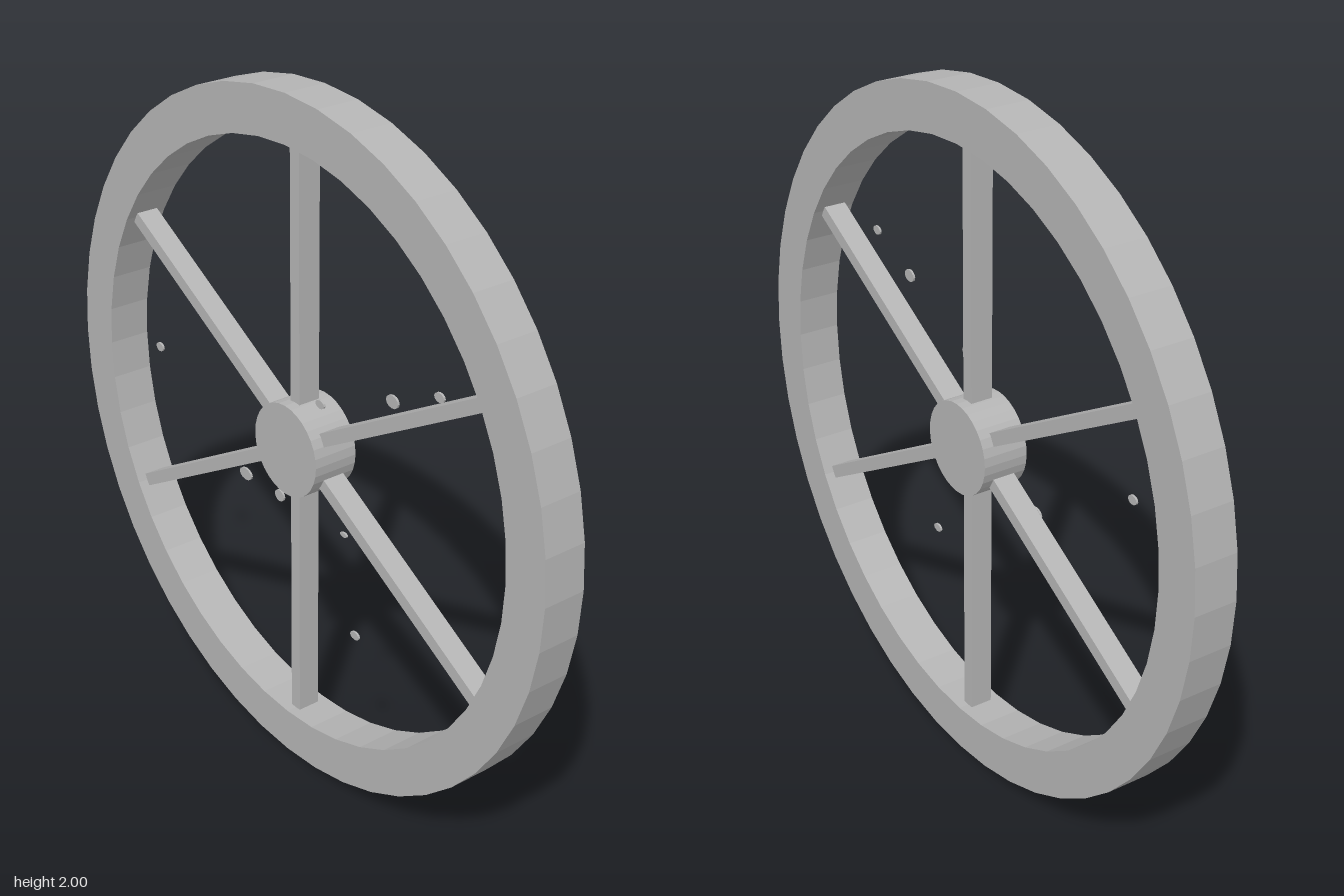
import * as THREE from 'three';

export function createModel() {
  const model = new THREE.Group();
  model.name = 'spokedWheel';
  const grey = new THREE.MeshStandardMaterial({ color: 0xb4b4b4, flatShading: true });
  grey.name = 'plain grey';

  // everything is built around the axle, one unit above the ground
  const wheel = new THREE.Group();
  wheel.name = 'wheel';
  wheel.position.y = 1;
  model.add(wheel);

  const add = (name, geometry, x = 0, y = 0, z = 0) => {
    const mesh = new THREE.Mesh(geometry, grey);
    mesh.name = name;
    mesh.position.set(x, y, z);
    wheel.add(mesh);
    return mesh;
  };
  const disc = (radius, depth, sides) =>
    new THREE.CylinderGeometry(radius, radius, depth, sides).rotateX(Math.PI / 2);

  // square-section rim, turned around the axle
  const section = [[0.865, -0.064], [1, -0.064], [1, 0.064], [0.865, 0.064], [0.865, -0.064]]
    .map(([r, z]) => new THREE.Vector2(r, z));
  add('rim', new THREE.LatheGeometry(section, 48).rotateX(Math.PI / 2));

  // barely raised band on the front of the rim
  add('rimBand', new THREE.RingGeometry(0.87, 0.947, 48), 0, 0, 0.066);

  // hub
  add('hub', disc(0.135, 0.136, 32));

  // six square spokes running from hub to rim
  for (let i = 0; i < 6; i++) {
    const spoke = add('spoke', new THREE.BoxGeometry(0.038, 0.78, 0.067).translate(0, 0.49, 0));
    spoke.rotation.z = (i * Math.PI) / 3;
  }

  // small oval flecks level with the front face: x, y, half width, half height
  const flecks = [
    [0.435, 0.32, 0.023, 0.018], [0.607, 0.4, 0.018, 0.013],
    [0.147, 0.197, 0.018, 0.012], [-0.6, 0.085, 0.017, 0.013],
    [-0.187, -0.155, 0.027, 0.018], [-0.03, -0.155, 0.02, 0.017],
    [0.25, -0.15, 0.014, 0.007], [0.302, -0.443, 0.018, 0.012],
  ];
  for (const [x, y, w, h] of flecks) {
    add('fleck', disc(1, 0.006, 12).scale(w, h, 1), x, y, 0.063);
  }
  return model;
}
